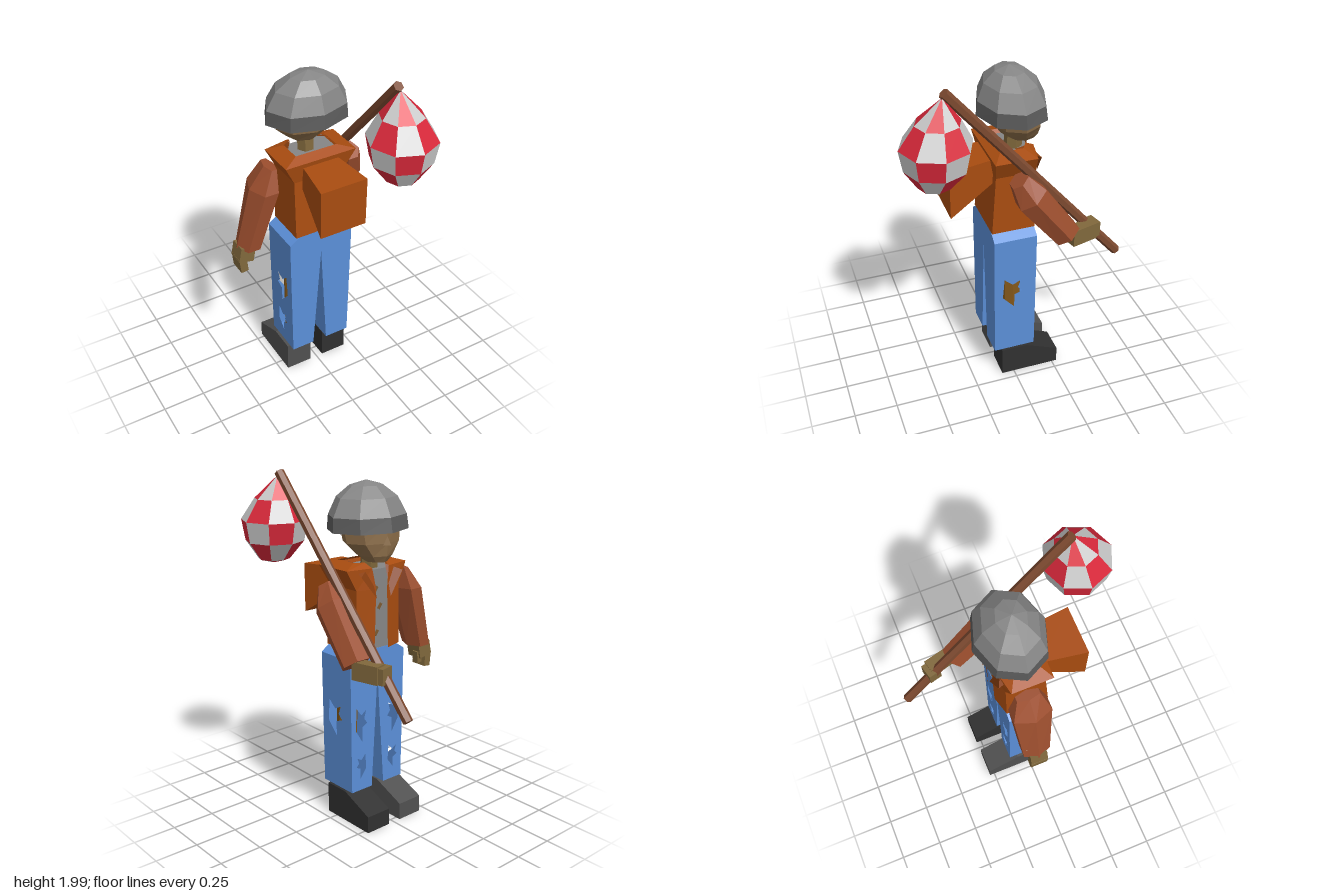
import * as THREE from 'three';
import { ConvexGeometry } from 'three/addons/geometries/ConvexGeometry.js';

const V = (x, y, z) => new THREE.Vector3(x, y, z);
const paint = (color) => new THREE.MeshStandardMaterial({ color, flatShading: true, side: THREE.DoubleSide });
const M = {
  denim: paint(0x5b8fd8), vest: paint(0xa84c10), lapel: paint(0x8a3f10), sleeve: paint(0x9c4e2e),
  skin: paint(0x8a6c48), hand: paint(0x80683c), leg: paint(0x85591a), shirt: paint(0x858585),
  hat: paint(0x858585), brim: paint(0x5c5c5c), wood: paint(0x7d4a30), red: paint(0xd8283a),
  white: paint(0xbdbdbd), shoeLight: paint(0x505050), shoeDark: paint(0x303030), patch: paint(0x7d5a30),
};

// Horizontal polygon ring, tilted about x
function ring(cx, cy, cz, rx, rz, n, tilt = 0) {
  return Array.from({ length: n }, (_, i) => {
    const a = (i / n) * Math.PI * 2, s = rz * Math.sin(a);
    return V(cx + rx * Math.cos(a), cy - s * Math.sin(tilt), cz + s * Math.cos(tilt));
  });
}

function fromTriangles(points) {
  const g = new THREE.BufferGeometry().setFromPoints(points);
  g.computeVertexNormals();
  return g;
}

// Skin over rings given from bottom to top; keep(level, side) may drop panels
function loft(rings, { closed = true, caps = true, keep = () => true } = {}) {
  const p = [], n = rings[0].length;
  for (let k = 0; k < rings.length - 1; k++) {
    for (let i = 0; i < (closed ? n : n - 1); i++) {
      if (!keep(k, i)) continue;
      const j = (i + 1) % n, b = rings[k], t = rings[k + 1];
      p.push(b[i], t[i], b[j], t[i], t[j], b[j]);
    }
  }
  if (caps) {
    const bottom = rings[0], top = rings[rings.length - 1];
    for (let i = 1; i < n - 1; i++) p.push(bottom[0], bottom[i], bottom[i + 1], top[0], top[i + 1], top[i]);
  }
  return fromTriangles(p);
}

// Flat shape mapped into space by a rule
function panel(shape, rule) {
  const g = new THREE.ShapeGeometry(shape).toNonIndexed(), a = g.attributes.position, p = [];
  for (let i = 0; i < a.count; i++) p.push(rule(a.getX(i), a.getY(i)));
  return fromTriangles(p);
}
const shapeOf = (pts) => new THREE.Shape(pts.map(([x, y]) => new THREE.Vector2(x, y)));

// Ragged tear outline
const TEAR = [[-.05, .1], [0, .055], [.05, .08], [.03, .03], [.06, 0], [.01, -.02], [.01, -.11], [-.06, -.03]];
const tear = (u, v, sx, sy) => new THREE.Path(TEAR.map(([x, y]) => new THREE.Vector2(u + x * sx, v + y * sy)));

export function createModel() {
  const model = new THREE.Group();
  const add = (name, geometry, material, parent = model) => {
    const mesh = new THREE.Mesh(geometry, material);
    mesh.name = name;
    parent.add(mesh);
    return mesh;
  };
  const group = (name) => {
    const g = new THREE.Group();
    g.name = name;
    model.add(g);
    return g;
  };
  const box = (name, size, pos, material, rot = [0, 0, 0], parent = model) => {
    const m = add(name, new THREE.BoxGeometry(...size), material, parent);
    m.position.set(...pos);
    m.rotation.set(...rot);
    return m;
  };

  // Trousers: panels with tears, bare legs inside
  const trousers = group('trousers');
  const Z0 = -.13, Z1 = .12;
  const outline = [[-.2, .99], [-.19, .19], [-.05, .19], [0, .88], [.04, .19], [.19, .19], [.2, .99], [.14, 1.03], [-.14, 1.03]];
  add('trouserBack', panel(shapeOf(outline), (x, y) => V(x, y, Z1)), M.denim, trousers);
  const torn = shapeOf(outline);
  for (const x of [-.12, .12]) torn.holes.push(tear(x, .6, x < 0 ? .7 : -.7, 1), tear(x, .34, x < 0 ? -.6 : .6, .7));
  add('trouserFront', panel(torn, (x, y) => V(x, y, Z0)), M.denim, trousers);
  const walls = [];
  outline.forEach(([x, y], i) => {
    const [u, v] = outline[(i + 1) % outline.length];
    if (i === 0 || i === 5) return;
    walls.push(V(x, y, Z1), V(x, y, Z0), V(u, v, Z1), V(u, v, Z1), V(x, y, Z0), V(u, v, Z0));
  });
  add('trouserEdges', fromTriangles(walls), M.denim, trousers);
  for (const s of [-1, 1]) {
    const side = shapeOf([[Z0, .19], [Z1, .19], [Z1, .99], [Z0, .99]]);
    side.holes.push(tear(.01, .62, -1, 1));
    if (s < 0) side.holes.push(tear(0, .35, .8, .75));
    add('trouserSide', panel(side, (z, y) => V(s * (.19 + (y - .19) * .0125), y, z)), M.denim, trousers);
    add('bareLeg', loft([ring(s * .12, .12, 0, .05, .055, 8), ring(s * .115, .85, 0, .06, .065, 8)]), M.leg);
  }

  // Shoes with sloping toes
  const shoeProfile = shapeOf([[-.075, 0], [.28, 0], [.28, .1], [.08, .185], [-.075, .185]]);
  for (const [x, material] of [[-.205, M.shoeLight], [.04, M.shoeDark]]) {
    const g = new THREE.ExtrudeGeometry(shoeProfile, { depth: .16, bevelEnabled: false });
    add('shoe', g.rotateY(Math.PI / 2).translate(x, 0, 0), material);
  }

  // Shirt with small worn spots
  box('shirt', [.29, .46, .215], [0, 1.25, -.02], M.shirt);
  for (const [x, y] of [[.015, 1.37], [-.015, 1.27], [.01, 1.12]]) {
    box('shirtSpot', [.02, .035, .004], [x, y, -.128], M.patch, [0, 0, .6]);
  }

  // Open vest, flared at the shoulders
  const vestRing = (y, w, inner, zf, zb) => [V(inner, y, -zf), V(w, y, -zf + .03), V(w, y, zb),
    V(-w, y, zb), V(-w, y, -zf + .03), V(-inner, y, -zf)];
  add('vest', loft([vestRing(1.03, .16, .05, .16, .12), vestRing(1.38, .155, .04, .16, .095),
    vestRing(1.495, .215, .06, .15, .115), vestRing(1.52, .125, .07, .1, .06)], { closed: false, caps: false }), M.vest);
  for (const s of [-1, 1]) {
    const a = V(s * .125, 1.525, -.02), b = V(s * .15, 1.46, -.165), c = V(s * .05, 1.33, -.18), d = V(s * .06, 1.5, -.12);
    add('lapel', fromTriangles([a, b, d, b, c, d]), M.lapel);
  }
  // Flared hood hanging at the back of the vest
  add('hood', new ConvexGeometry([-1, 1].flatMap((s) => [V(s * .105, 1.47, .09), V(s * .105, 1.33, .09),
    V(s * .14, 1.455, .345), V(s * .14, 1.17, .345)])), M.vest);

  // Hanging arm with patches and an open hand
  const armR = group('hangingArm');
  add('sleeve', loft([ring(-.375, .965, -.05, .072, .09, 6), ring(-.275, 1.33, -.04, .082, .125, 6),
    ring(-.235, 1.45, -.04, .03, .075, 6)]), M.sleeve, armR);
  for (const [x, y] of [[-.29, 1.25], [-.32, 1.14], [-.37, 1.03]]) {
    box('sleevePatch', [.045, .05, .012], [x, y, -.132 + (1.3 - y) * .09], M.patch, [.09, 0, .5], armR);
  }
  box('palm', [.09, .09, .1], [-.405, .93, -.05], M.hand, [0, 0, -.2], armR);
  box('fingers', [.045, .09, .1], [-.43, .865, -.05], M.hand, [0, 0, .1], armR);
  box('thumb', [.032, .07, .04], [-.37, .885, -.07], M.hand, [0, 0, -.1], armR);

  // Arm reaching forward to hold the stick
  const armL = group('holdingArm');
  add('sleeve', loft([ring(.28, 1.03, -.27, .08, .085, 6, .62), ring(.275, 1.31, -.06, .088, .1, 6, .62),
    ring(.25, 1.41, .0, .06, .06, 6, .62)]), M.sleeve, armL);
  box('palm', [.07, .1, .16], [.28, 1.015, -.365], M.hand, [0, .25, 0], armL);
  box('fingers', [.085, .09, .075], [.245, 1.01, -.43], M.hand, [0, .25, 0], armL);

  // Carrying stick
  const top = V(.265, 1.975, .39), end = V(.222, .795, -.612);
  const stick = add('stick', new THREE.CylinderGeometry(.028, .028, top.distanceTo(end), 6), M.wood);
  stick.position.copy(top).add(end).multiplyScalar(.5);
  stick.quaternion.setFromUnitVectors(V(0, 1, 0), top.clone().sub(end).normalize());

  // Chequered cloth bundle
  const bundle = group('bundle');
  const levels = [[1.46, .005, .46], [1.485, .09, .455], [1.59, .168, .443], [1.71, .19, .44], [1.83, .118, .425], [1.95, .006, .4]];
  const bundleRings = levels.map(([y, r, z]) => ring(.272, y, z, r, r, 8));
  add('redChecks', loft(bundleRings, { caps: false, keep: (k, i) => (k + i) % 2 === 0 }), M.red, bundle);
  add('whiteChecks', loft(bundleRings, { caps: false, keep: (k, i) => (k + i) % 2 === 1 }), M.white, bundle);

  // Neck, head with jutting jaw, and nose
  add('neck', loft([ring(0, 1.44, -.05, .05, .05, 6), ring(0, 1.58, -.06, .05, .05, 6)]), M.hand);
  add('head', loft([ring(0, 1.525, -.11, .06, .07, 8), ring(0, 1.56, -.095, .1, .105, 8),
    ring(0, 1.63, -.07, .17, .135, 8), ring(0, 1.74, -.06, .19, .14, 8)]), M.skin);
  add('nose', new ConvexGeometry([V(0, 1.69, -.19), V(-.03, 1.62, -.19), V(.03, 1.62, -.19), V(0, 1.625, -.232)]), M.skin);

  // Knitted cap
  add('capBand', loft([ring(0, 1.69, -.045, .245, .197, 8), ring(0, 1.77, -.042, .238, .186, 8)]), M.brim);
  add('capDome', loft([ring(0, 1.77, -.042, .238, .186, 8), ring(0, 1.865, -.037, .185, .145, 8),
    ring(0, 1.925, -.032, .1, .08, 8), ring(0, 1.95, -.03, .004, .004, 8)]), M.hat);

  return model;
}
